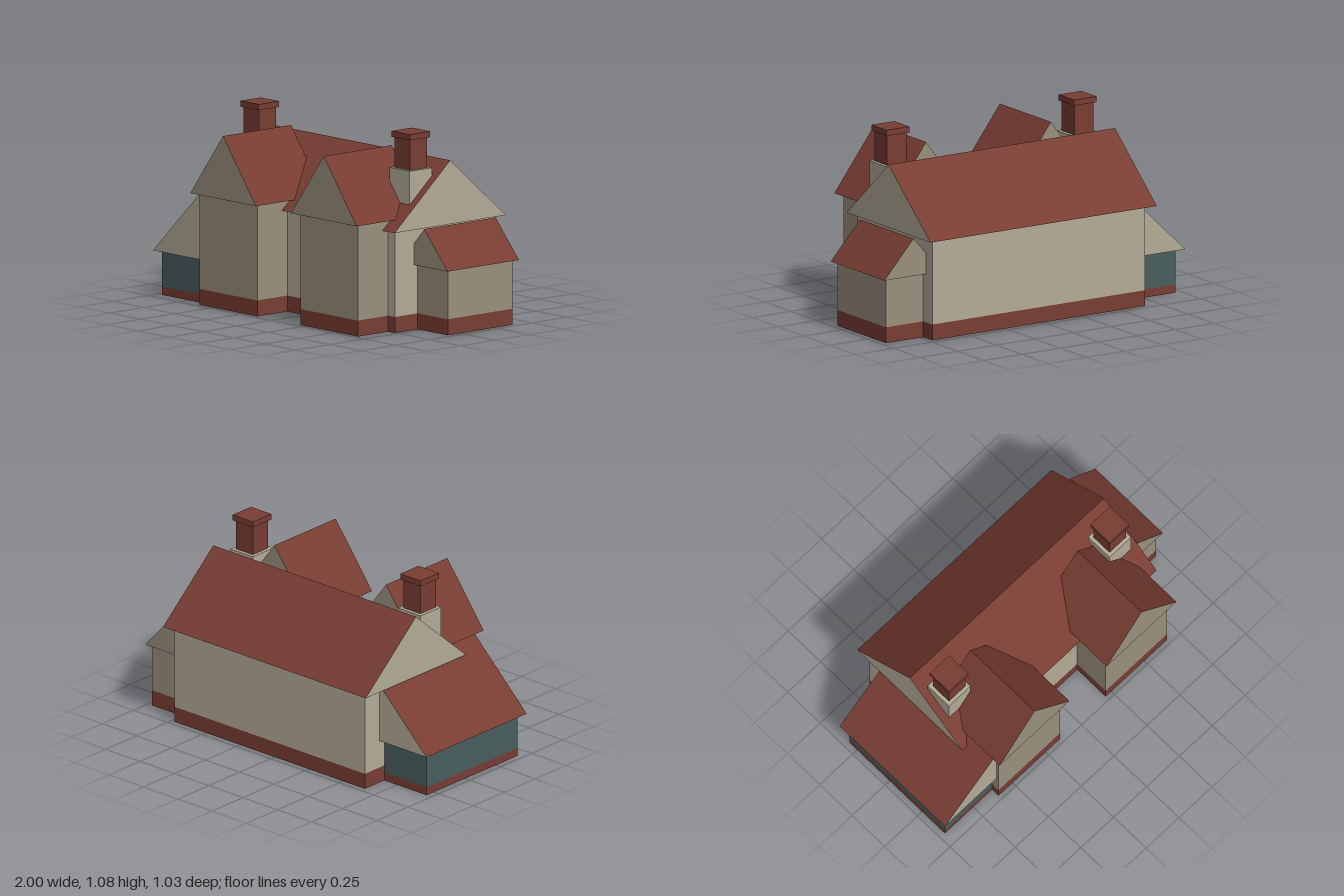
import * as THREE from 'three';

const paint = (color) => new THREE.MeshStandardMaterial({ color, flatShading: true });

export function createModel() {
  const house = new THREE.Group();
  house.name = 'house';
  const cream = paint(0xb3ab97);
  const stone = paint(0x998f7c);
  const red = paint(0x783d33);
  const glass = paint(0x485d5c);

  // Box given by its limits on each axis
  function block(name, [x0, x1], [y0, y1], [z0, z1], material, parent = house) {
    const mesh = new THREE.Mesh(new THREE.BoxGeometry(x1 - x0, y1 - y0, z1 - z0), material);
    mesh.position.set((x0 + x1) / 2, (y0 + y1) / 2, (z0 + z1) / 2);
    mesh.name = name;
    parent.add(mesh);
  }

  // Wall block standing on a flush plinth
  function walls(name, x, top, z, material, plinth = 0.088) {
    block(name + 'Plinth', x, [0, plinth], z, red);
    block(name + 'Walls', x, [plinth, top], z, material);
  }

  // Solid triangular roof: wall-coloured gable ends, red slopes and soffit
  function roof(name, points, [z0, z1], gable) {
    const shape = new THREE.Shape(points.map(([x, y]) => new THREE.Vector2(x, y)));
    const geometry = new THREE.ExtrudeGeometry(shape, { depth: z1 - z0, bevelEnabled: false });
    geometry.translate(0, 0, z0);
    const mesh = new THREE.Mesh(geometry, [gable, red]);
    mesh.name = name;
    house.add(mesh);
    return mesh;
  }

  // Main range, its ridge running from side to side
  walls('main', [-0.658, 0.727], 0.562, [-0.468, 0.256], cream);
  const mainRoof = roof('mainRoof', [[-0.297, 0.56], [0.514, 0.56], [0.108, 0.911]], [-0.705, 0.77], cream);
  mainRoof.rotation.y = Math.PI / 2;

  // Two front wings with steep gables
  for (const [side, x] of [['right', -0.373], ['left', 0.44]]) {
    walls(side + 'Wing', [x - 0.233, x + 0.233], 0.617, [0.06, 0.475], stone);
    roof(side + 'WingRoof', [[x - 0.265, 0.615], [x + 0.265, 0.615], [x, 0.965]], [0.02, 0.515], stone);
  }

  // Chimneys: rendered base, brick stack and cap
  for (const [side, x] of [['right', -0.577], ['left', 0.643]]) {
    const chimney = new THREE.Group();
    chimney.name = side + 'Chimney';
    house.add(chimney);
    const square = (name, half, y) =>
      block(name, [x - half, x + half], y, [0.064 - half, 0.064 + half], red, chimney);
    block('chimneyBase', [x - 0.082, x + 0.082], [0.6, 0.875], [-0.018, 0.146], cream, chimney);
    square('chimneyStack', 0.062, [0.875, 1.043]);
    square('chimneyCap', 0.074, [1.043, 1.075]);
  }

  // Glazed lean-to on one side
  walls('sunroom', [-0.965, -0.59], 0.246, [-0.31, 0.425], glass, 0.045);
  roof('sunroomRoof', [[-1, 0.245], [-0.59, 0.245], [-0.59, 0.62], [-0.612, 0.618]], [-0.35, 0.46], cream);

  // Small gabled annex on the other side
  walls('annex', [0.64, 0.97], 0.36, [-0.38, 0.09], stone);
  roof('annexRoof', [[0.62, 0.357], [0.997, 0.357], [0.808, 0.565]], [-0.405, 0.115], stone);

  return house;
}
